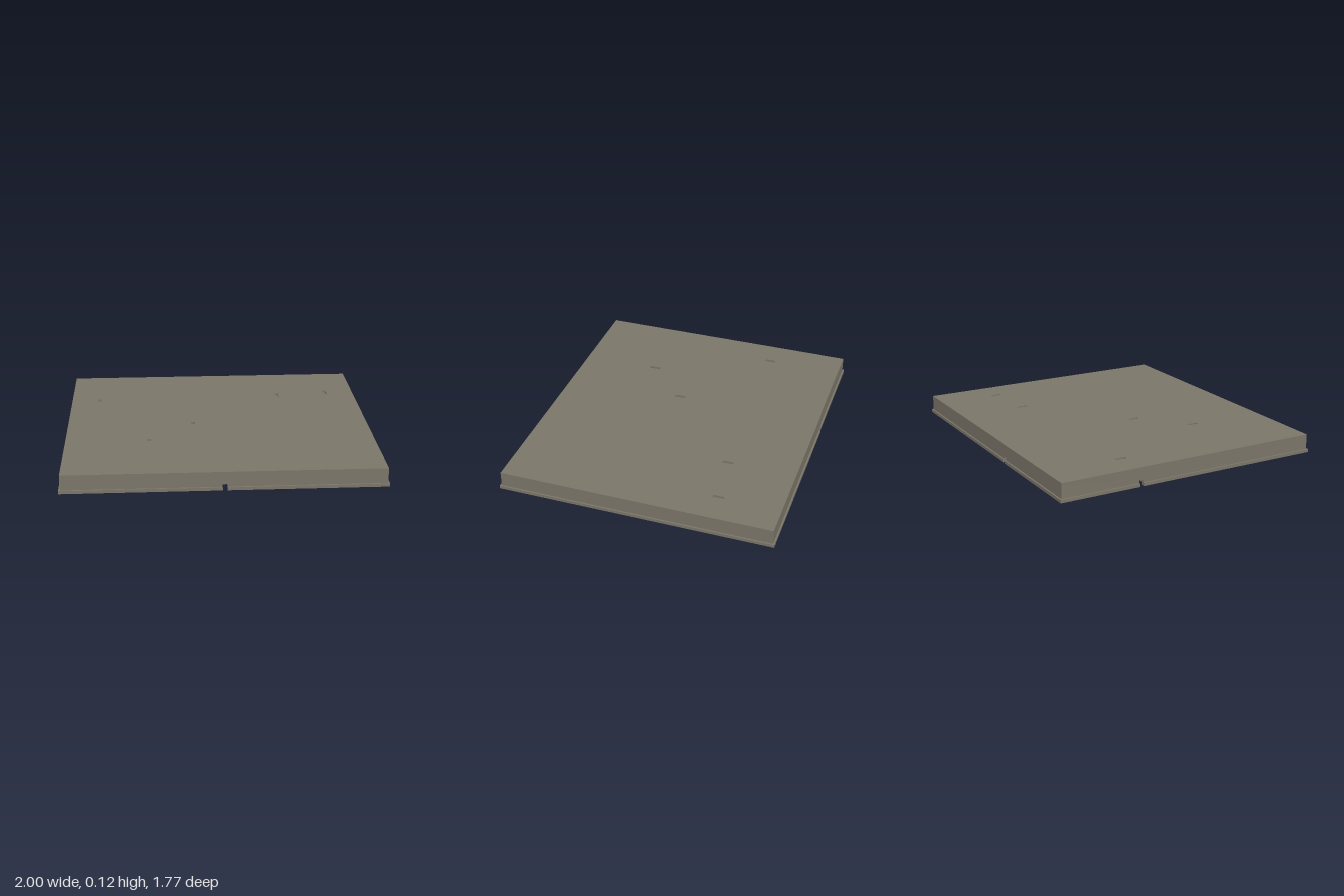
import * as THREE from 'three';

const W = 0.99, D = 0.875;          // half sizes of the body
const H = 0.117, PLATE = 0.014;     // full height, top plate thickness
const NOTCH_W = 0.03, NOTCH_H = 0.036;

const material = new THREE.MeshStandardMaterial({ color: 0x7a7568 });
material.name = 'warm grey';

export function createModel() {
  const model = new THREE.Group();
  model.name = 'floorPanel';

  const add = (name, geometry) => {
    const mesh = new THREE.Mesh(geometry, material);
    mesh.name = name;
    model.add(mesh);
    return mesh;
  };

  // Box given by its lower and upper corner
  const box = (name, x0, y0, z0, x1, y1, z1) => {
    add(name, new THREE.BoxGeometry(x1 - x0, y1 - y0, z1 - z0))
      .position.set((x0 + x1) / 2, (y0 + y1) / 2, (z0 + z1) / 2);
  };

  // Upright board from -half to half with an optional notch in its lower edge;
  // it runs along x at z = pos, or along z at x = pos
  const board = (name, axis, pos, half, height, thick, notch) => {
    const s = new THREE.Shape();
    s.moveTo(-half, 0);
    if (notch !== undefined) {
      const a = notch - NOTCH_W / 2, b = notch + NOTCH_W / 2;
      s.lineTo(a, 0);
      s.lineTo(a, NOTCH_H);
      s.lineTo(b, NOTCH_H);
      s.lineTo(b, 0);
    }
    s.lineTo(half, 0);
    s.lineTo(half, height);
    s.lineTo(-half, height);
    s.closePath();
    const g = new THREE.ExtrudeGeometry(s, { depth: thick, bevelEnabled: false });
    g.translate(0, 0, -thick / 2);
    const mesh = add(name, g);
    if (axis === 'z') {
      mesh.rotation.y = -Math.PI / 2;
      mesh.position.x = pos;
    } else mesh.position.z = pos;
  };

  // Top plate with five narrow slots
  const rect = (path, x, y, w, h) => {
    path.moveTo(x - w / 2, y - h / 2);
    path.lineTo(x + w / 2, y - h / 2);
    path.lineTo(x + w / 2, y + h / 2);
    path.lineTo(x - w / 2, y + h / 2);
    path.closePath();
    return path;
  };
  const top = rect(new THREE.Shape(), 0, 0, W * 2, D * 2);
  const slots = [[-0.797, -0.382], [0.446, -0.437], [0.792, -0.48], [-0.164, 0.085], [-0.453, 0.365]];
  for (const [x, z] of slots) top.holes.push(rect(new THREE.Path(), x, -z, 0.024, 0.068));
  const plate = new THREE.ExtrudeGeometry(top, { depth: PLATE, bevelEnabled: false });
  plate.rotateX(-Math.PI / 2);
  plate.translate(0, H - PLATE, 0);
  add('topPlate', plate);

  // Outer walls, three of them with a cable notch
  const wallTop = H - PLATE, t = 0.016;
  const sides = [
    ['front', 'x', 1, 0],
    ['back', 'x', -1, -0.233],
    ['left', 'z', 1, undefined],
    ['right', 'z', -1, -0.35],
  ];
  for (const [name, axis, sign, notch] of sides) {
    const alongX = axis === 'x';
    board(name + 'Wall', axis, sign * ((alongX ? D : W) - t / 2),
      alongX ? W : D - t, wallTop, t, notch);

    // Low flange around the foot, open at the notch
    const half = alongX ? 1 : D, out0 = alongX ? D : W, out1 = alongX ? 0.885 : 1;
    const spans = notch === undefined ? [[-half, half]]
      : [[-half, notch - NOTCH_W / 2], [notch + NOTCH_W / 2, half]];
    for (const [a, b] of spans) {
      const lo = Math.min(sign * out0, sign * out1), hi = Math.max(sign * out0, sign * out1);
      if (alongX) box(name + 'Flange', a, 0, lo, b, 0.02, hi);
      else box(name + 'Flange', lo, 0, a, hi, 0.02, b);
    }
  }

  // Ribs under the plate; they close the slots from below
  const inner = D - t;
  const ribs = [[0.792], [0.446], [0.03, 0.44], [-0.164], [-0.275, -0.35]];
  for (const [x, notch] of ribs) board('rib', 'z', x, inner, wallTop, 0.026, notch);
  for (const x of [-0.453, -0.797]) {
    box('hiddenRib', x - 0.013, 0.04, -inner, x + 0.013, wallTop, inner);
  }

  // Bottom cover on the right, split by a cable channel
  const x0 = -W + t, x1 = -0.288, c0 = -0.35 - NOTCH_W / 2, c1 = -0.35 + NOTCH_W / 2;
  box('channelFloor', x0, NOTCH_H, -inner, x1, 0.046, inner);
  box('backCover', x0, 0.016, -inner, x1, NOTCH_H, c0);
  box('frontCover', x0, 0.016, c1, x1, NOTCH_H, inner);

  return model;
}
